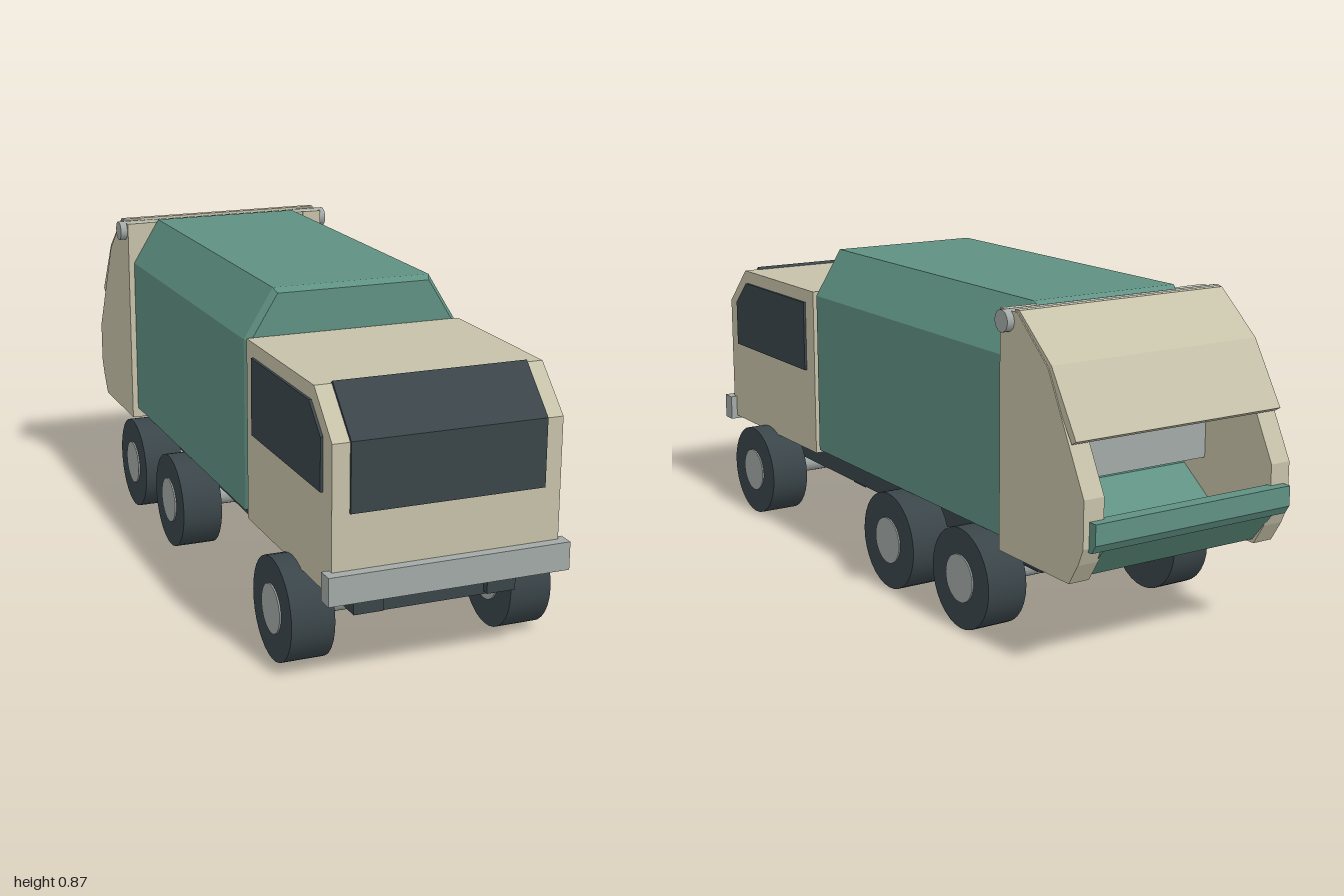
import * as THREE from 'three';

const mat = (color) => new THREE.MeshStandardMaterial({ color, flatShading: true });
const cream = mat(0xc6c1a9), green = mat(0x5f9182), dark = mat(0x3a4549), grey = mat(0xa2a9a7);
const smooth = (m) => { const s = m.clone(); s.flatShading = false; return s; };
const tyreMat = smooth(dark), steelMat = smooth(grey);

export function createModel() {
  const truck = new THREE.Group();
  truck.name = 'refuseTruck';

  const add = (name, geometry, material) => {
    const mesh = new THREE.Mesh(geometry, material);
    mesh.name = name;
    truck.add(mesh);
    return mesh;
  };
  // Box given by its ranges
  const box = (name, m, x0, x1, y0, y1, z0, z1) => {
    const g = new THREE.BoxGeometry(x1 - x0, y1 - y0, z1 - z0);
    g.translate((x0 + x1) / 2, (y0 + y1) / 2, (z0 + z1) / 2);
    return add(name, g, m);
  };
  const shapeOf = (points) => new THREE.Shape(points.map(([a, b]) => new THREE.Vector2(a, b)));
  // Side profile of [z, y] points, swept from x0 to x1
  const profile = (name, m, points, x0, x1) => {
    const g = new THREE.ExtrudeGeometry(shapeOf(points), { depth: x1 - x0, bevelEnabled: false });
    g.rotateY(-Math.PI / 2);
    g.translate(x1, 0, 0);
    return add(name, g, m);
  };
  // Cylinder lying along x
  const rod = (name, m, r, x0, x1, y, z, sides = 32) => {
    const g = new THREE.CylinderGeometry(r, r, x1 - x0, sides);
    g.rotateZ(Math.PI / 2);
    g.translate((x0 + x1) / 2, y, z);
    return add(name, g, m);
  };

  // Cab, windscreen and bumper
  profile('cab', cream, [[0.4, 0.255], [0.972, 0.255], [0.972, 0.633], [0.86, 0.743], [0.4, 0.743]], -0.3, 0.3);
  profile('windscreen', dark, [[0.96, 0.46], [0.979, 0.46], [0.979, 0.636], [0.863, 0.75], [0.85, 0.74], [0.96, 0.63]], -0.255, 0.255);
  box('bumper', grey, -0.319, 0.319, 0.245, 0.318, 0.956, 1);

  // Refuse body with sloping shoulders and a small bevel at the ends
  const section = shapeOf([[-0.3, 0.27], [0.3, 0.27], [0.3, 0.735], [0.22, 0.865], [-0.22, 0.865], [-0.3, 0.735]]);
  const body = new THREE.ExtrudeGeometry(section, {
    depth: 0.998, bevelThickness: 0.018, bevelSize: 0.012, bevelOffset: -0.012, bevelSegments: 1,
  });
  body.translate(0, 0, -0.62);
  add('refuseBody', body, green);

  // Chassis
  for (const z of [0.86, 0.3, -0.31, -0.6]) box('crossMember', dark, -0.21, 0.21, 0.167, 0.245, z - 0.035, z + 0.035);

  // Parts mirrored left and right
  const wall = [[-0.62, 0.24], [-0.92, 0.24], [-0.955, 0.295], [-0.975, 0.34], [-0.975, 0.46],
    [-0.825, 0.745], [-0.695, 0.857], [-0.62, 0.857]];
  for (const [side, s] of [['left', 1], ['right', -1]]) {
    const span = (a, b) => (s > 0 ? [a, b] : [-b, -a]);
    profile(side + 'Window', dark, [[0.45, 0.5], [0.918, 0.5], [0.918, 0.635], [0.845, 0.705], [0.45, 0.705]], ...span(0.295, 0.307));
    box(side + 'ChassisRail', dark, ...span(0.14, 0.218), 0.175, 0.262, -0.668, 0.915);
    profile(side + 'HopperWall', cream, wall, ...span(0.258, 0.317));
    box(side + 'HopperPost', cream, ...span(0.215, 0.26), 0.6, 0.857, -0.65, -0.622);
  }

  // Rear hopper: trough, loading ledge, packing blade, hinge bar and lid
  profile('hopperTrough', green, [[-0.62, 0.25], [-0.915, 0.25], [-0.985, 0.335], [-0.965, 0.37],
    [-0.9, 0.31], [-0.76, 0.3], [-0.62, 0.4]], -0.262, 0.262);
  profile('loadingLedge', green, [[-0.962, 0.33], [-0.985, 0.33], [-1, 0.352], [-1, 0.405], [-0.962, 0.405]], -0.3, 0.3);
  profile('packingBlade', grey, [[-0.7, 0.42], [-0.72, 0.42], [-0.72, 0.64], [-0.7, 0.64]], -0.258, 0.258);
  rod('hingeBar', steelMat, 0.028, -0.337, 0.337, 0.832, -0.655, 24);
  profile('hopperLid', cream, [[-0.68, 0.845], [-0.815, 0.735], [-0.92, 0.58], [-0.937, 0.59], [-0.835, 0.752],
    [-0.7, 0.862], [-0.68, 0.862]], -0.314, 0.314);

  // Axles, wheels and hubs
  for (const z of [0.72, -0.125, -0.495]) {
    rod('axle', steelMat, 0.031, -0.25, 0.25, 0.136, z, 20);
    for (const s of [1, -1]) {
      const span = (a, b) => (s > 0 ? [a, b] : [-b, -a]);
      rod('tyre', tyreMat, 0.135, ...span(0.24, 0.354), 0.135, z);
      rod('hub', steelMat, 0.064, ...span(0.235, 0.358), 0.136, z);
    }
  }
  return truck;
}
